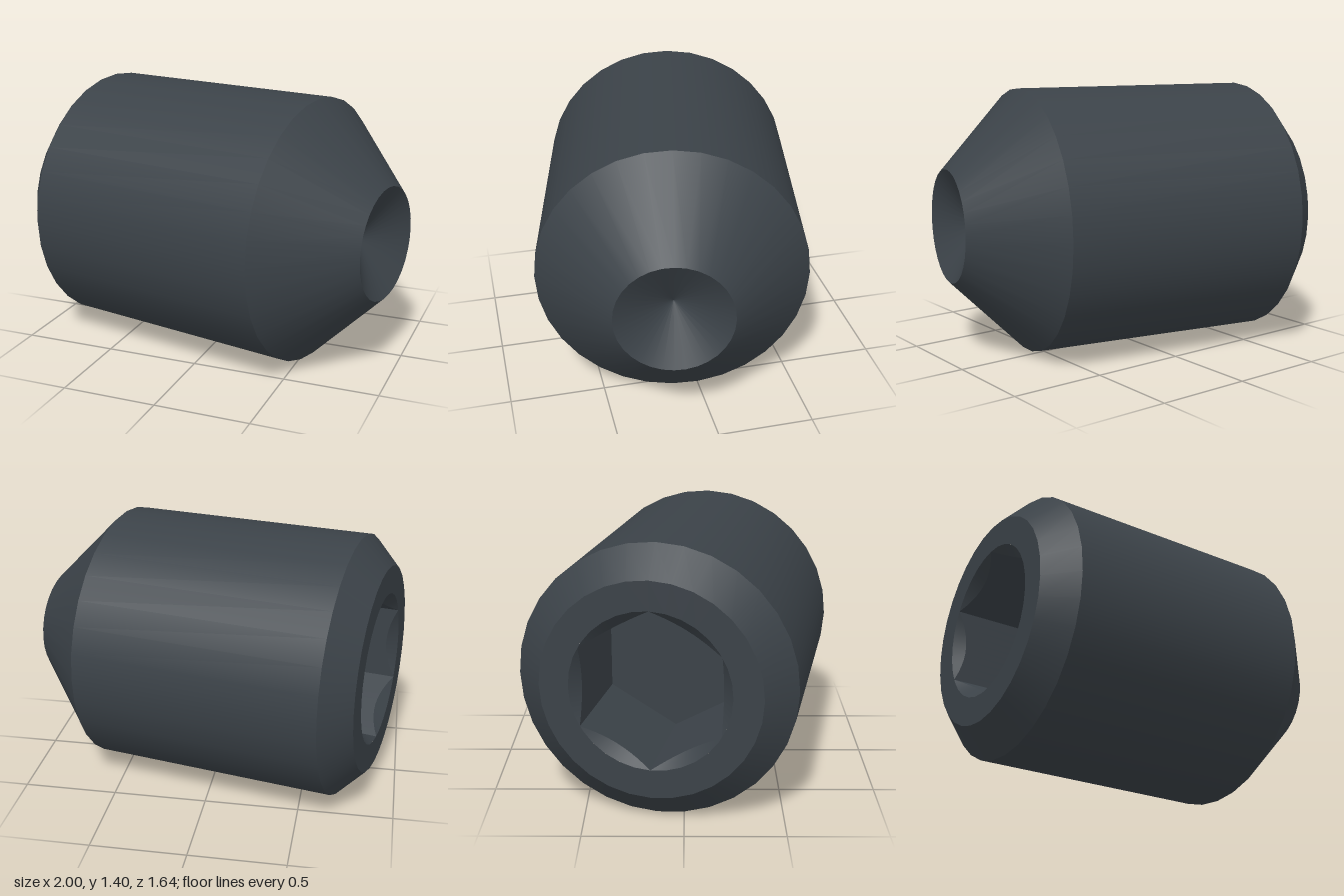
import * as THREE from 'three';

const SIDES = 32;
const BACK = -0.901;      // axial position of the socket end
const APOTHEM = 0.35;     // half the hex width across flats
const CORNER = APOTHEM / Math.cos(Math.PI / 6);
const DEPTH = 0.58;       // socket depth

// Builds a smooth strip between two edge curves, each a function of t in 0..1
function strip(from, to, steps) {
  const pos = [], index = [];
  for (let i = 0; i <= steps; i++) {
    pos.push(...from(i / steps), ...to(i / steps));
    if (i < steps) {
      const a = 2 * i;
      index.push(a, a + 2, a + 3, a, a + 3, a + 1);
    }
  }
  const g = new THREE.BufferGeometry();
  g.setAttribute('position', new THREE.Float32BufferAttribute(pos, 3));
  g.setIndex(index);
  g.computeVertexNormals();
  return g;
}

export function createModel() {
  const steel = new THREE.MeshStandardMaterial({ color: 0x3b4248 });
  steel.name = 'dark steel';

  const model = new THREE.Group();
  model.name = 'setScrew';
  const screw = new THREE.Group();
  screw.name = 'screw';
  model.add(screw);

  const add = (name, geometry, parent = screw) => {
    const mesh = new THREE.Mesh(geometry, steel);
    mesh.name = name;
    parent.add(mesh);
    return mesh;
  };

  // Turned sections along the axis; one lathe each keeps the edges sharp
  const profile = [
    [CORNER, BACK], [0.552, BACK], [0.7, -0.758],
    [0.7, 0.56], [0.297, 0.962], [0, 0.79],
  ];
  const names = ['socketEndFace', 'rearChamfer', 'barrel', 'taperedTip', 'cupPoint'];
  names.forEach((name, i) => {
    const points = [profile[i], profile[i + 1]].map(([r, s]) => new THREE.Vector2(r, s));
    add(name, new THREE.LatheGeometry(points, SIDES));
  });

  // Hex socket: six flat walls with a conical countersink cutting scallops into them
  const socket = new THREE.Group();
  socket.name = 'hexSocket';
  screw.add(socket);
  for (let k = 0; k < 6; k++) {
    const at = (t, radius, y) => {
      const local = (t - 0.5) * Math.PI / 3;
      const angle = local + Math.PI / 6 + k * Math.PI / 3;
      const r = radius ?? APOTHEM / Math.cos(local);
      return [r * Math.cos(angle), y ?? BACK + CORNER - r, r * Math.sin(angle)];
    };
    const rim = t => at(t, CORNER, BACK);
    const scallop = t => at(t);
    const foot = t => at(t, undefined, BACK + DEPTH);
    add('countersink', strip(rim, scallop, 10), socket);
    add('socketWall', strip(scallop, foot, 10), socket);
  }
  const floor = new THREE.CircleGeometry(CORNER, 6);
  floor.rotateX(Math.PI / 2);
  floor.translate(0, BACK + DEPTH, 0);
  add('socketFloor', floor, socket);

  // Lay the screw on its side, turned slightly toward the front
  const turn = 0.2065;
  const axis = new THREE.Vector3(Math.cos(turn), 0, Math.sin(turn));
  const up = new THREE.Vector3(0, 1, 0);
  const side = new THREE.Vector3().crossVectors(up, axis);
  screw.quaternion.setFromRotationMatrix(new THREE.Matrix4().makeBasis(up, axis, side));
  screw.position.set(-0.002, 0.7, 0.02);
  return model;
}
